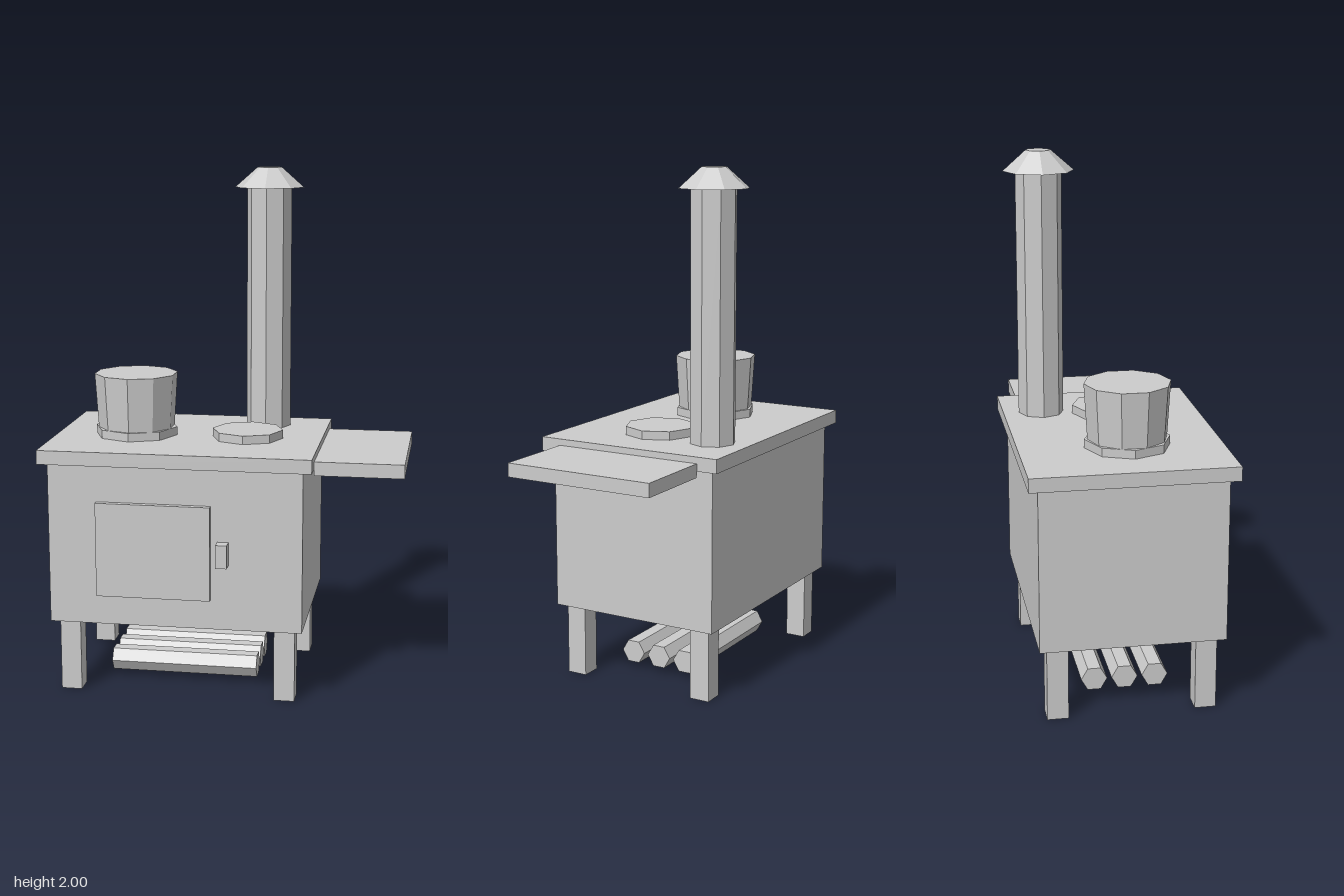
import * as THREE from 'three';

export function createModel() {
  const model = new THREE.Group();
  model.name = 'woodStove';
  const iron = new THREE.MeshStandardMaterial({ color: 0xcccccc, flatShading: true });
  iron.name = 'ironGrey';

  const add = (name, geometry, x, y, z) => {
    const mesh = new THREE.Mesh(geometry, iron);
    mesh.name = name;
    mesh.position.set(x, y, z);
    model.add(mesh);
    return mesh;
  };
  // Box given by its extents on each axis
  const box = (name, [x0, x1], [y0, y1], [z0, z1]) =>
    add(name, new THREE.BoxGeometry(x1 - x0, y1 - y0, z1 - z0),
      (x0 + x1) / 2, (y0 + y1) / 2, (z0 + z1) / 2);
  // Upright faceted drum from y0 to y1
  const drum = (name, rTop, rBottom, y0, y1, sides, x, z) =>
    add(name, new THREE.CylinderGeometry(rTop, rBottom, y1 - y0, sides), x, (y0 + y1) / 2, z);

  // Firebox, cooking top and side shelf
  box('firebox', [-0.658, 0.318], [0.285, 0.913], [-0.353, 0.343]);
  box('cookingTop', [-0.69, 0.353], [0.913, 0.967], [-0.389, 0.377]);
  box('sideShelf', [0.353, 0.689], [0.889, 0.942], [-0.307, 0.295]);

  // Door and handle
  box('door', [-0.47, -0.03], [0.402, 0.768], [0.343, 0.366]);
  box('doorHandle', [-0.005, 0.038], [0.54, 0.63], [0.343, 0.389]);

  // Legs
  for (const x of [-0.588, 0.248]) {
    for (const z of [-0.284, 0.273]) {
      box('leg', [x - 0.04, x + 0.04], [0, 0.285], [z - 0.04, z + 0.04]);
    }
  }

  // Burner plates and pot
  drum('potBurner', 0.162, 0.162, 0.967, 1.0, 8, -0.38, 0.018);
  drum('openBurner', 0.139, 0.139, 0.967, 1.0, 8, 0.063, 0.018);
  drum('pot', 0.163, 0.15, 1.0, 1.212, 10, -0.38, 0.018);

  // Chimney pipe and cap
  drum('chimneyPipe', 0.089, 0.089, 0.967, 1.922, 8, 0.11, -0.239);
  drum('chimneyCap', 0.048, 0.137, 1.922, 2.0, 8, 0.11, -0.239);

  // Hexagonal logs lying along x below the firebox
  for (const z of [-0.121, -0.004, 0.113]) {
    const log = add('log', new THREE.CylinderGeometry(0.05, 0.05, 0.58, 6), -0.171, 0.067, z);
    log.rotation.z = Math.PI / 2;
  }
  return model;
}
